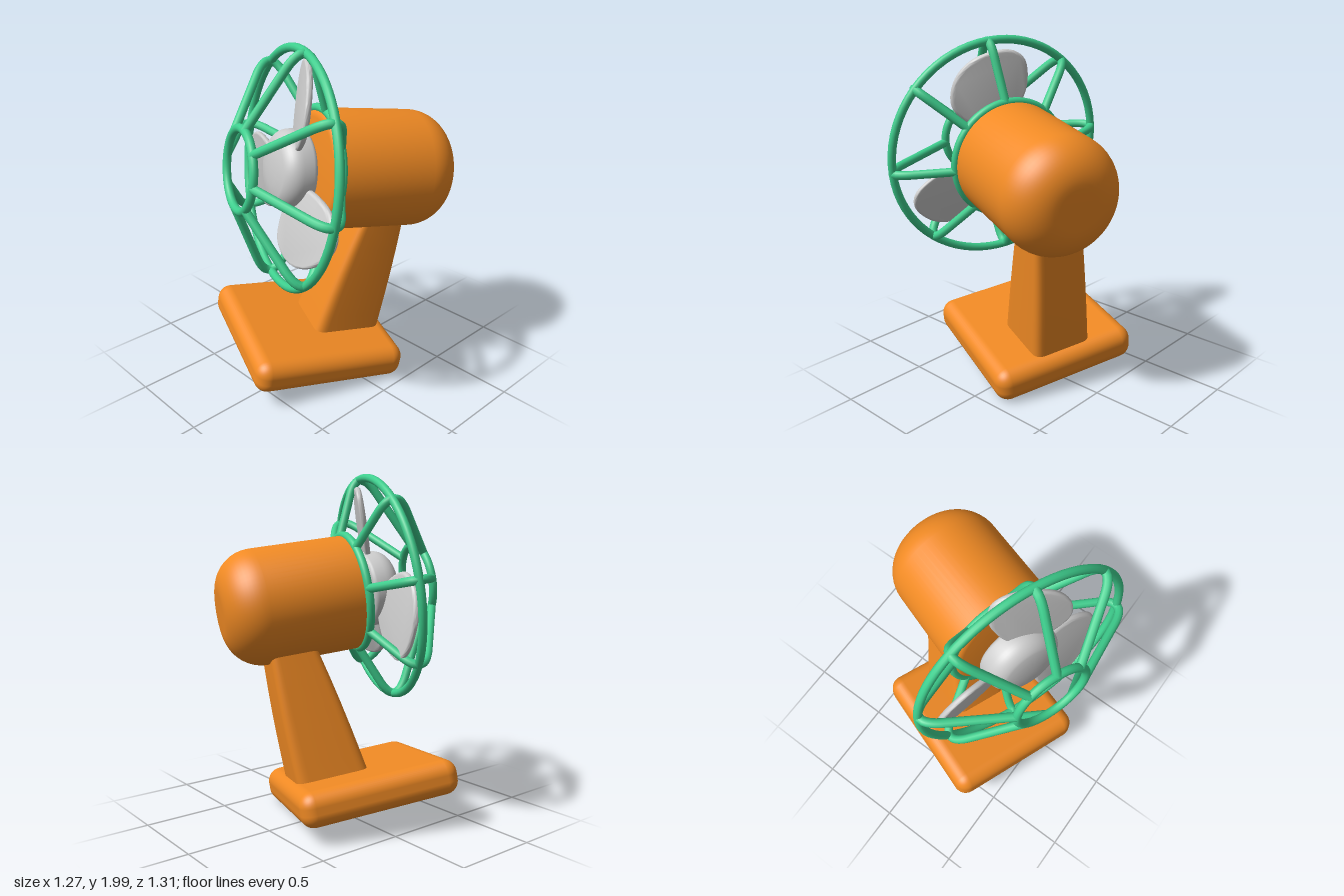
import * as THREE from 'three';
import { toCreasedNormals } from 'three/addons/utils/BufferGeometryUtils.js';
import { RoundedBoxGeometry } from 'three/addons/geometries/RoundedBoxGeometry.js';

const orange = new THREE.MeshStandardMaterial({ color: 0xf08a24 });
const green = new THREE.MeshStandardMaterial({ color: 0x3ecf8e });
const grey = new THREE.MeshStandardMaterial({ color: 0xcccccc });

function add(parent, name, geometry, material) {
  const mesh = new THREE.Mesh(geometry, material);
  mesh.name = name;
  parent.add(mesh);
  return mesh;
}

// Quarter-circle profile points, from angle a0 to a1 in degrees
function arc(cx, cy, radius, a0, a1, n = 10) {
  return Array.from({ length: n + 1 }, (_, i) => {
    const a = THREE.MathUtils.degToRad(a0 + ((a1 - a0) * i) / n);
    return new THREE.Vector2(cx + radius * Math.cos(a), cy + radius * Math.sin(a));
  });
}

// Revolved profile (radius, distance) with its axis along +z
function latheZ(points) {
  return toCreasedNormals(new THREE.LatheGeometry(points, 64).rotateX(Math.PI / 2), 0.6);
}

// Tapering neck: rounded rectangle that shrinks and leans back as it rises
function neckGeometry() {
  const a = 0.5, c = 0.34;
  const s = new THREE.Shape();
  s.moveTo(-c, -a);
  s.lineTo(c, -a);
  s.quadraticCurveTo(a, -a, a, -c);
  s.lineTo(a, c);
  s.quadraticCurveTo(a, a, c, a);
  s.lineTo(-c, a);
  s.quadraticCurveTo(-a, a, -a, c);
  s.lineTo(-a, -c);
  s.quadraticCurveTo(-a, -a, -c, -a);
  const g = new THREE.ExtrudeGeometry(s, { depth: 1, steps: 6, bevelEnabled: false, curveSegments: 6 });
  g.rotateX(-Math.PI / 2);
  const p = g.attributes.position;
  for (let i = 0; i < p.count; i++) {
    const t = p.getY(i);
    const width = 0.37 - 0.085 * t;
    const depth = 0.43 - 0.19 * t + 0.02 * Math.sin(Math.PI * t);
    p.setXYZ(i, p.getX(i) * width, 0.05 + 0.9 * t, p.getZ(i) * depth - 0.185 - 0.115 * t);
  }
  return toCreasedNormals(g, 0.6);
}

// Soft-edged pitched blade pointing along +y
function bladeGeometry() {
  const outline = [
    [-0.05, 0.1], [-0.07, 0.18], [-0.125, 0.265], [-0.175, 0.38], [-0.18, 0.5], [-0.14, 0.56],
    [-0.06, 0.58], [0.07, 0.555], [0.17, 0.49], [0.225, 0.4], [0.235, 0.3], [0.18, 0.22], [0.09, 0.15], [0.04, 0.1],
  ].map(([x, y]) => new THREE.Vector2(x * 0.95, y));
  const shape = new THREE.Shape(new THREE.SplineCurve([...outline, outline[0]]).getPoints(56).slice(0, -1));
  const g = new THREE.ExtrudeGeometry(shape, {
    depth: 0.006, bevelThickness: 0.015, bevelSize: 0.015, bevelSegments: 4,
  });
  const p = g.attributes.position;
  for (let i = 0; i < p.count; i++) p.setZ(i, p.getZ(i) + 0.29 * p.getX(i) - 0.018);
  return toCreasedNormals(g, 0.9);
}

export function createModel() {
  const model = new THREE.Group();
  model.name = 'deskFan';

  // Whole fan is turned and tilted about its base
  const fan = new THREE.Group();
  fan.name = 'fan';
  const front = new THREE.Vector3(-0.336, 0.13, 0.93).normalize();
  const up = front.clone().cross(new THREE.Vector3(0.937, -0.13, 0.34)).normalize();
  const side = up.clone().cross(front);
  fan.quaternion.setFromRotationMatrix(new THREE.Matrix4().makeBasis(side, up, front));
  fan.position.set(-0.085, 0.2, 0.08);
  model.add(fan);

  add(fan, 'base', new RoundedBoxGeometry(0.89, 0.2, 0.93, 5, 0.08), orange);
  add(fan, 'neck', neckGeometry(), orange);

  const head = new THREE.Group();
  head.name = 'head';
  head.position.set(0.01, 1.113, 0);
  fan.add(head);

  // Motor housing with a domed back and softened front rim
  add(head, 'motorHousing', latheZ([
    new THREE.Vector2(0, -0.64),
    ...arc(0.115, -0.42, 0.22, -90, 0, 14),
    ...arc(0.285, 0.12, 0.05, 0, 90, 6),
    new THREE.Vector2(0, 0.17),
  ]), orange);

  // Shaft and rounded hub
  add(head, 'shaft', new THREE.CylinderGeometry(0.06, 0.06, 0.16, 24).rotateX(Math.PI / 2), grey).position.z = 0.2;
  add(head, 'hub', latheZ([
    new THREE.Vector2(0, 0.22),
    ...arc(0.195, 0.245, 0.025, -90, 0, 4),
    ...arc(0.12, 0.3, 0.1, 0, 70, 8),
    new THREE.Vector2(0.08, 0.404),
    new THREE.Vector2(0, 0.41),
  ]), grey);

  // Three blades
  const blade = bladeGeometry();
  for (let i = 0; i < 3; i++) {
    const b = add(head, 'blade', blade, grey);
    b.position.z = 0.3;
    b.rotation.z = (i * Math.PI * 2) / 3;
  }

  // Guard rings: rear, outer and front
  const cage = new THREE.Group();
  cage.name = 'guard';
  head.add(cage);
  for (const [name, radius, z] of [['rearRing', 0.335, 0.14], ['outerRing', 0.645, 0.31], ['frontRing', 0.22, 0.58]]) {
    add(cage, name, new THREE.TorusGeometry(radius, 0.024, 12, 72), green).position.z = z;
  }

  // Eight bent guard wires
  const path = new THREE.CurvePath();
  const v = (x, z) => new THREE.Vector3(x, 0, z);
  path.add(new THREE.LineCurve3(v(0.335, 0.14), v(0.56, 0.24)));
  path.add(new THREE.CubicBezierCurve3(v(0.56, 0.24), v(0.67, 0.29), v(0.67, 0.345), v(0.56, 0.405)));
  path.add(new THREE.LineCurve3(v(0.56, 0.405), v(0.22, 0.58)));
  const wire = new THREE.TubeGeometry(path, 40, 0.025, 10);
  for (let i = 0; i < 8; i++) add(cage, 'guardWire', wire, green).rotation.z = (i * Math.PI) / 4;

  return model;
}
